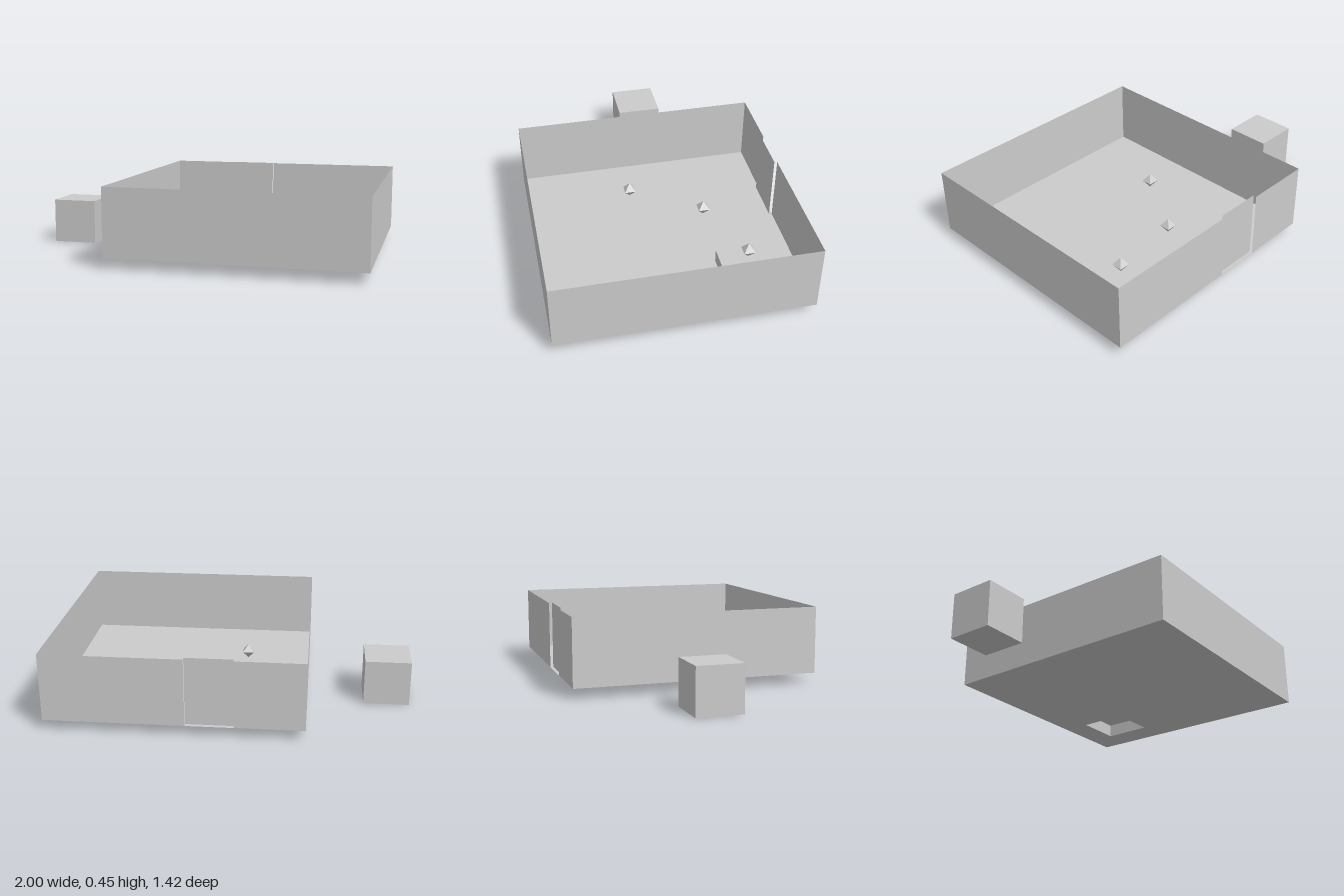
import * as THREE from 'three';

const FLOOR = 0.06, TOP = 0.445;
const X0 = -0.42, X1 = 1, Z = 0.71;           // room extents
const DOOR0 = -0.037, DOOR1 = 0.225;          // doorway in the back wall
const STEP = { x0: 0.555, x1: 0.83, z0: -0.55, z1: -0.27, h: 0.077 };

const solid = new THREE.MeshStandardMaterial({ color: 0xcccccc, flatShading: true });
const sheet = new THREE.MeshStandardMaterial({ color: 0xcccccc, flatShading: true, side: THREE.DoubleSide });

function add(parent, name, geometry, material = sheet) {
  const mesh = new THREE.Mesh(geometry, material);
  mesh.name = name;
  parent.add(mesh);
  return mesh;
}

// Upright thin panel between two floor points
function panel(parent, name, xa, za, xb, zb, y0, y1) {
  const mesh = add(parent, name, new THREE.PlaneGeometry(Math.hypot(xb - xa, zb - za), y1 - y0));
  mesh.position.set((xa + xb) / 2, (y0 + y1) / 2, (za + zb) / 2);
  mesh.rotation.y = -Math.atan2(zb - za, xb - xa);
  return mesh;
}

// Rectangle outline in floor coordinates (shape y is -z)
function rect(path, x0, x1, z0, z1) {
  path.moveTo(x0, -z1);
  path.lineTo(x1, -z1);
  path.lineTo(x1, -z0);
  path.lineTo(x0, -z0);
  path.closePath();
  return path;
}

function flat(parent, name, shape, y) {
  const mesh = add(parent, name, new THREE.ShapeGeometry(shape).rotateX(-Math.PI / 2));
  mesh.position.y = y;
  return mesh;
}

export function createModel() {
  const model = new THREE.Group();

  // Room: floor with a hole under the hollow step, and thin walls
  const room = new THREE.Group();
  room.name = 'room';
  model.add(room);
  const { x0, x1, z0, z1, h } = STEP;
  const floor = rect(new THREE.Shape(), X0, X1, -Z, Z);
  floor.holes.push(rect(new THREE.Path(), x0, x1, z0, z1));
  flat(room, 'floor', floor, FLOOR);
  panel(room, 'frontWall', X0, Z, X1, Z, FLOOR, TOP);
  panel(room, 'rightWall', X0, -Z, X0, Z, FLOOR, TOP);
  panel(room, 'leftWall', X1, Z, X1, -Z, FLOOR, TOP);
  panel(room, 'backWallRight', X0, -Z, DOOR0, -Z, FLOOR, TOP);
  panel(room, 'backWallLeft', DOOR1, -Z, X1, -Z, FLOOR, TOP);

  // Raised step, open underneath
  const step = new THREE.Group();
  step.name = 'step';
  model.add(step);
  flat(step, 'stepTop', rect(new THREE.Shape(), x0, x1, z0, z1), FLOOR + h);
  const corners = [[x0, z0], [x1, z0], [x1, z1], [x0, z1]];
  corners.forEach(([xa, za], i) => {
    const [xb, zb] = corners[(i + 1) % 4];
    panel(step, 'stepSide', xa, za, xb, zb, FLOOR, FLOOR + h);
  });

  // Door: two halves meeting at a jagged seam
  const door = new THREE.Group();
  door.name = 'door';
  door.position.z = -0.693;
  model.add(door);
  const seam = [[DOOR0, 0.256], [0.04, 0.258], [0.075, 0.235], [0.1, 0.262], [0.15, 0.275], [0.175, 0.25], [DOOR1, 0.255]];
  for (const [name, y] of [['doorLowerHalf', FLOOR + 0.003], ['doorUpperHalf', TOP + 0.003]]) {
    const points = [[DOOR1, y], [DOOR0, y], ...seam].map(([px, py]) => new THREE.Vector2(px, py));
    add(door, name, new THREE.ShapeGeometry(new THREE.Shape(points)));
  }

  // Floating gems
  for (const [x, y, z] of [[-0.053, 0.165, 0.103], [0.203, 0.165, -0.287], [0.697, 0.242, -0.41]]) {
    const gem = add(model, 'gem', new THREE.OctahedronGeometry(0.045).rotateY(Math.PI / 4), solid);
    gem.position.set(x, y, z);
  }

  // Loose cube outside the room
  const cube = add(model, 'cube', new THREE.BoxGeometry(0.26, 0.26, 0.26), solid);
  cube.position.set(-0.87, 0.13, -0.095);

  return model;
}
